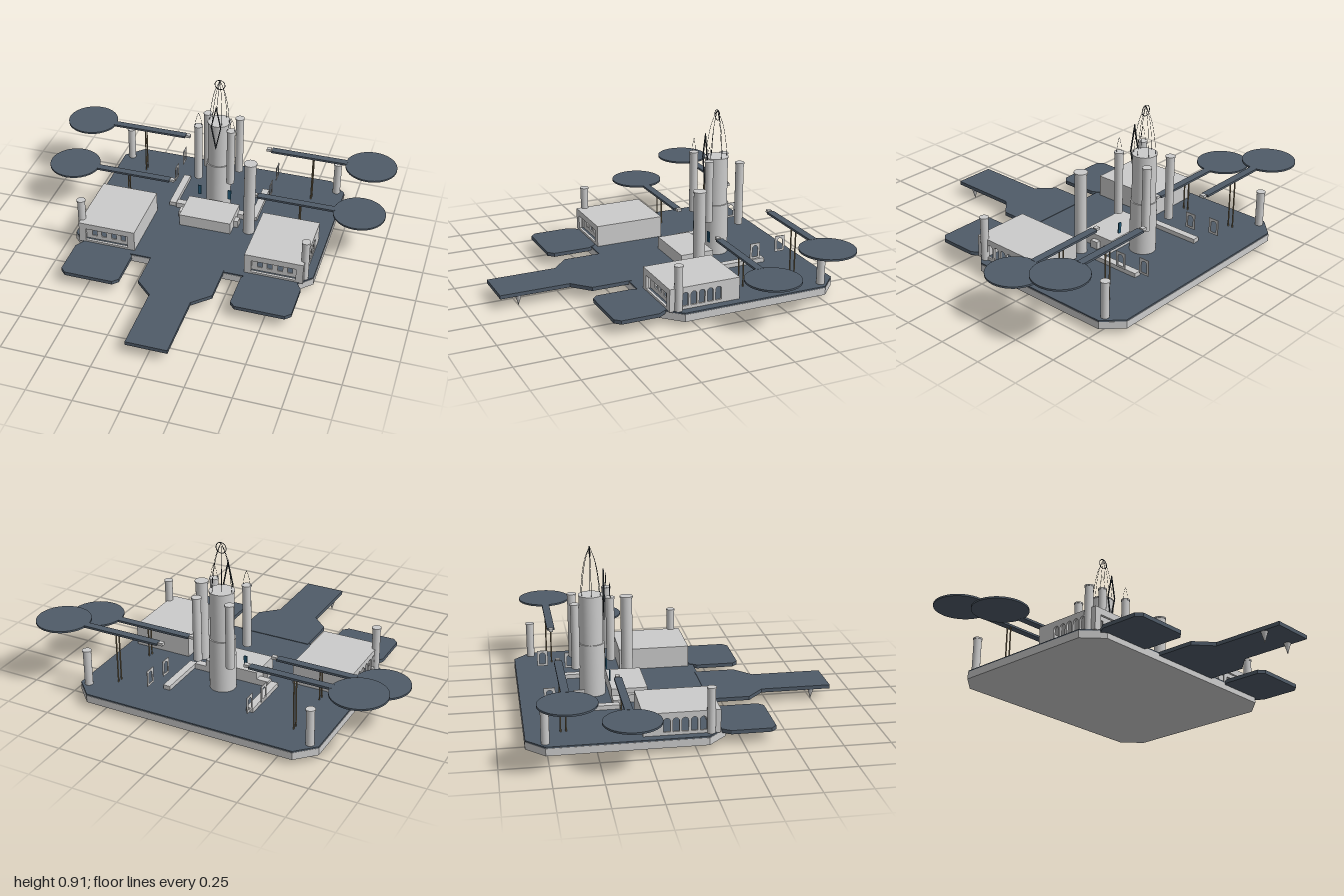
import * as THREE from 'three';

const grey = new THREE.MeshStandardMaterial({ color: 0xcccccc, side: THREE.DoubleSide });
const slate = new THREE.MeshStandardMaterial({ color: 0x4f5b68 });
const dark = new THREE.MeshStandardMaterial({ color: 0x30363c, side: THREE.DoubleSide });
const blue = new THREE.MeshStandardMaterial({ color: 0x245a78 });
const bronze = new THREE.MeshStandardMaterial({ color: 0x8a7a5c });

export function createModel() {
  const model = new THREE.Group();

  const add = (name, geometry, material, x = 0, y = 0, z = 0, parent = model) => {
    const mesh = new THREE.Mesh(geometry, material);
    mesh.name = name;
    mesh.position.set(x, y, z);
    parent.add(mesh);
    return mesh;
  };
  // Box given by its extents
  const box = (name, mat, x0, x1, y0, y1, z0, z1, parent) =>
    add(name, new THREE.BoxGeometry(Math.abs(x1 - x0), y1 - y0, z1 - z0), mat,
      (x0 + x1) / 2, (y0 + y1) / 2, (z0 + z1) / 2, parent);
  // Upright cylinder from y0 to y1
  const column = (name, mat, r, x, z, y0, y1, sides = 24) =>
    add(name, new THREE.CylinderGeometry(r, r, y1 - y0, sides), mat, x, (y0 + y1) / 2, z);
  // Horizontal plate from an outline of [x, z] points
  const plate = (name, mat, points, y0, y1) => {
    const shape = new THREE.Shape(points.map(([x, z]) => new THREE.Vector2(x, -z)));
    const geo = new THREE.ExtrudeGeometry(shape, { depth: y1 - y0, bevelEnabled: false });
    return add(name, geo.rotateX(-Math.PI / 2), mat, 0, y0, 0);
  };
  // Round-headed opening
  const archPath = (cx, y0, w, h) => {
    const p = new THREE.Path();
    p.moveTo(cx - w / 2, y0);
    p.lineTo(cx + w / 2, y0);
    p.lineTo(cx + w / 2, y0 + h - w / 2);
    p.absarc(cx, y0 + h - w / 2, w / 2, 0, Math.PI, false);
    p.lineTo(cx - w / 2, y0);
    return p;
  };
  // Upright wall in its own x/y plane with holes
  const wallGeometry = (x0, x1, y0, y1, holes, depth) => {
    const s = new THREE.Shape();
    s.moveTo(x0, y0);
    s.lineTo(x1, y0);
    s.lineTo(x1, y1);
    s.lineTo(x0, y1);
    s.closePath();
    s.holes = holes;
    return new THREE.ExtrudeGeometry(s, { depth, bevelEnabled: false, curveSegments: 6 });
  };
  const rect = (x0, x1, y0, y1) => new THREE.Path([[x0, y0], [x1, y0], [x1, y1], [x0, y1]]
    .map(([x, y]) => new THREE.Vector2(x, y)));

  // Main platform with cut corners
  const outline = (e) => [[-0.595, -0.86 + e], [0.595, -0.86 + e], [0.695 - e, -0.762], [0.695 - e, 0.064],
    [0.595, 0.165 - e], [-0.595, 0.165 - e], [-0.695 + e, 0.064], [-0.695 + e, -0.762]];
  plate('platformBase', grey, outline(0), 0.03, 0.07);
  plate('platformDeck', slate, outline(0.002), 0.07, 0.078);

  // Long landing pier
  plate('centralPier', slate, [[-0.21, 0.15], [-0.21, 0.375], [-0.115, 0.465], [-0.115, 0.855],
    [0.115, 0.855], [0.115, 0.465], [0.21, 0.375], [0.21, 0.15]], 0.06, 0.081);

  for (const s of [-1, 1]) {
    // Side pier in front of each hangar
    const c = 0.03;
    const [a, b] = [s * 0.4825 - 0.1675, s * 0.4825 + 0.1675];
    plate('sidePier', slate, [[a + c, 0.14], [a, 0.14 + c * 1.5], [a, 0.425 - c], [a + c, 0.425], [b - c, 0.425],
      [b, 0.425 - c], [b, 0.14 + c * 1.5], [b - c, 0.14]], 0.06, 0.081);

    // Cone under the pier tip
    const cone = add('pierCone', new THREE.ConeGeometry(0.018, 0.06, 12), grey, s * 0.095, 0.03, 0.75);
    cone.rotation.x = Math.PI;

    // Hangar: roof, arcaded outer wall, solid inner and back walls, recessed front
    const hangar = new THREE.Group();
    hangar.name = 'hangar';
    hangar.position.x = s * 0.4825;
    model.add(hangar);
    const w = 0.165;
    box('hangarRoof', grey, -w, w, 0.185, 0.2, -0.27, 0.13, hangar);
    box('hangarBackWall', grey, -w, w, 0.075, 0.185, -0.27, -0.255, hangar);
    box('hangarInnerWall', grey, -s * w, -s * (w - 0.015), 0.075, 0.185, -0.255, 0.115, hangar);
    const arches = [];
    for (let i = 0; i < 5; i++) arches.push(archPath(-0.04 + i * 0.047, 0.095, 0.034, 0.075));
    const arcade = add('hangarArcade', wallGeometry(-0.115, 0.255, 0.075, 0.185, arches, 0.012), grey,
      s > 0 ? w - 0.012 : -w, 0, 0, hangar);
    arcade.rotation.y = Math.PI / 2;
    add('hangarFront', wallGeometry(-w, w, 0.075, 0.185, [rect(-0.125, 0.125, 0.09, 0.165)], 0.015),
      grey, 0, 0, 0.115, hangar);
    const windows = [-0.085, -0.03, 0.03, 0.085].map((x) => rect(x - 0.014, x + 0.014, 0.1, 0.158));
    add('hangarScreen', wallGeometry(-w + 0.015, w - 0.015, 0.075, 0.185, windows, 0.008), grey,
      0, 0, 0.085, hangar);

    // Corner posts with caps
    for (const [z, top] of [[0.08, 0.325], [-0.76, 0.28]]) {
      column('cornerPost', grey, 0.022, s * 0.645, z, 0.03, top);
      column('cornerPostCap', grey, 0.025, s * 0.645, z, top - 0.008, top);
    }

    // Raised round landing pads, their arms and poles
    for (const [z, y] of [[-0.66, 0.365], [-0.348, 0.253]]) {
      column('landingPad', slate, 0.148, s * 0.852, z, y - 0.005, y + 0.005, 40);
      box('padArm', slate, s * 0.265, s * 0.715, y - 0.006, y + 0.006, z - 0.021, z + 0.021);
      box('armEnd', grey, s * 0.235, s * 0.262, y - 0.006, y + 0.01, z - 0.012, z + 0.012);
      for (const d of [-0.014, 0.014]) column('armPole', bronze, 0.004, s * 0.515, z + d, 0.075, y, 8);
    }

    // Low walls, hall wings and blue windows
    box('lowWall', grey, s * 0.225, s * 0.265, 0.075, 0.102, -0.63, -0.34);
    box('hallWing', grey, s * 0.15, s * 0.22, 0.075, 0.11, -0.37, -0.33);
    box('hallButtress', grey, s * 0.15, s * 0.178, 0.075, 0.12, -0.29, -0.245);
    box('blueWindow', blue, s * 0.08, s * 0.1, 0.175, 0.235, -0.375, -0.368);

    // Small arched screens
    for (const [z, y] of [[-0.71, 0.14], [-0.555, 0.12]]) {
      const screen = add('archScreen', wallGeometry(-0.03, 0.03, y, y + 0.09, [archPath(0, y + 0.012, 0.034, 0.065)], 0.004),
        grey, s * 0.29, 0, z);
      screen.rotation.y = Math.PI / 2;
    }

    // Slim towers around the main tower
    for (const [z, y0, y1] of [[-0.365, 0.3, 0.65], [-0.553, 0.26, 0.62]]) {
      column('slimTower', grey, 0.023, s * 0.095, z, y0, y1);
      column('slimTowerCap', grey, 0.026, s * 0.095, z, y1 - 0.008, y1);
    }
    // Fine finial on each front slim tower
    for (const d of [-1, 1]) {
      const rib = new THREE.QuadraticBezierCurve3(new THREE.Vector3(d * 0.02, 0.65, 0),
        new THREE.Vector3(d * 0.016, 0.7, 0), new THREE.Vector3(0, 0.73, 0));
      add('finialRib', new THREE.TubeGeometry(rib, 8, 0.001, 4), dark, s * 0.095, 0, -0.365);
    }
  }

  // Central hall in front of the tower
  box('hall', grey, -0.152, 0.152, 0.075, 0.148, -0.37, -0.175);

  // Main tower in two stages
  column('towerLower', grey, 0.071, 0, -0.458, 0.075, 0.37, 32);
  column('towerUpper', grey, 0.064, 0, -0.458, 0.37, 0.64, 32);
  column('towerCap', grey, 0.067, 0, -0.458, 0.633, 0.64, 32);

  // Side tower
  column('sideTower', grey, 0.033, 0.245, -0.235, 0.075, 0.545, 28);
  column('sideTowerCap', grey, 0.037, 0.245, -0.235, 0.537, 0.545, 28);

  // Open ribbed spire with ring
  for (let i = 0; i < 6; i++) {
    const a = (i * Math.PI) / 3;
    const at = (r, y) => new THREE.Vector3(Math.cos(a) * r, y, Math.sin(a) * r);
    const rib = new THREE.CatmullRomCurve3([at(0.058, 0.64), at(0.048, 0.74), at(0.03, 0.83), at(0.002, 0.9)]);
    add('spireRib', new THREE.TubeGeometry(rib, 14, 0.0012, 4), dark, 0, 0, -0.458);
  }
  add('spireRing', new THREE.TorusGeometry(0.029, 0.002, 6, 32), dark, 0, 0.876, -0.458);

  // Thin diamond frame on the tower front
  const diamond = (w, y0, y1) => [[0, y0], [w, 0.64], [0, y1], [-w, 0.64]].map(([x, y]) => new THREE.Vector2(x, y));
  const frame = new THREE.Shape(diamond(0.03, 0.49, 0.78));
  frame.holes.push(new THREE.Path(diamond(0.025, 0.515, 0.755)));
  add('diamondFrame', new THREE.ExtrudeGeometry(frame, { depth: 0.006, bevelEnabled: false }), dark, 0, 0, -0.39);

  return model;
}
